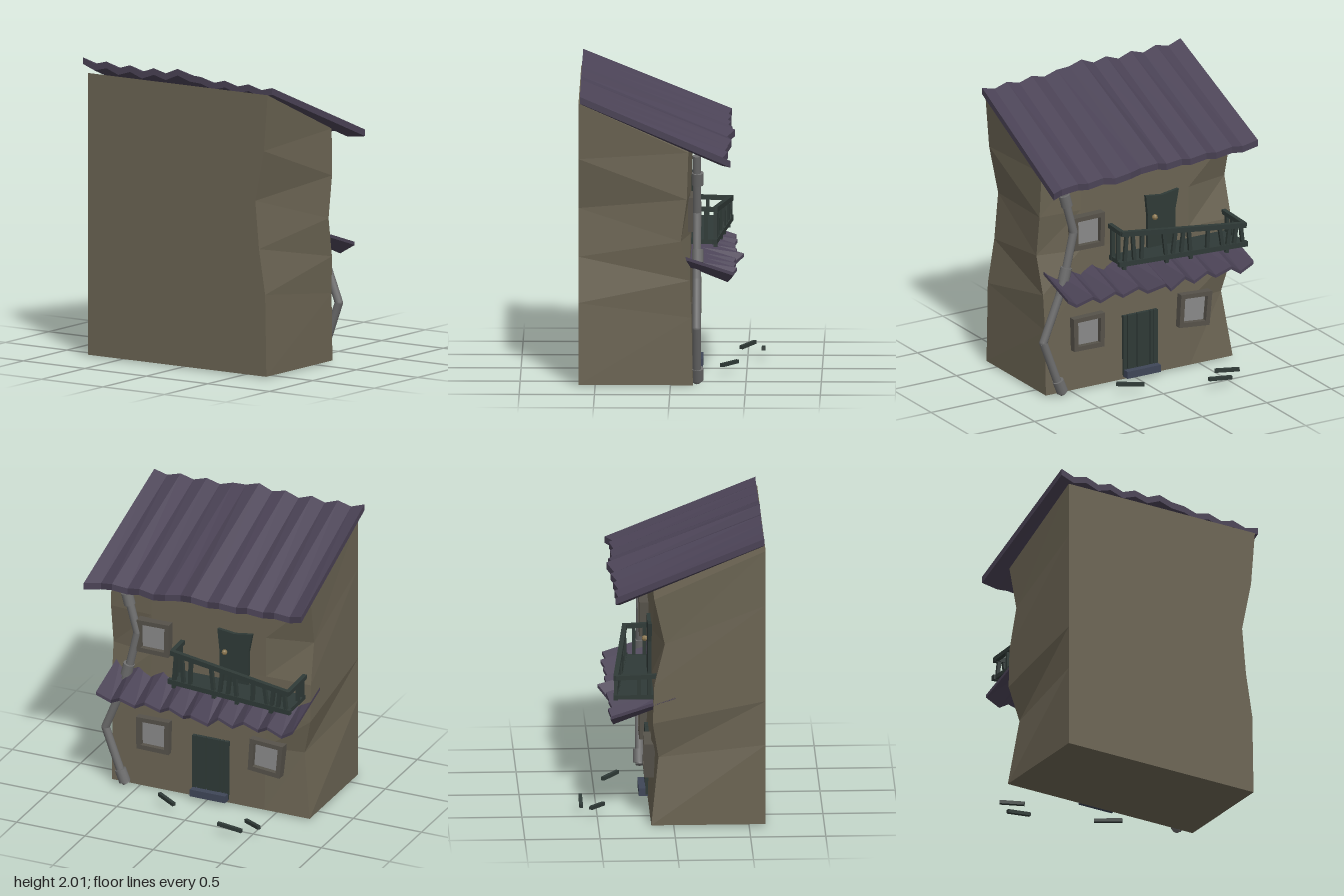
import * as THREE from 'three';

const mat = (color, extra = {}) => new THREE.MeshStandardMaterial({ color, flatShading: true, ...extra });
const WALL = mat(0x6b6453), ROOF = mat(0x4a4255), WOOD = mat(0x2f3a37), STEP = mat(0x3f4658);
const FRAME = mat(0x56524a), PANE = mat(0x8a8a8a), BRASS = mat(0x8a7650), PIPE = mat(0x6e6e6e, { flatShading: false });

const V = (x, y, z) => new THREE.Vector3(x, y, z);

function add(parent, name, geometry, material) {
  const mesh = new THREE.Mesh(geometry, material);
  mesh.name = name;
  parent.add(mesh);
  return mesh;
}

function group(parent, name) {
  const g = new THREE.Group();
  g.name = name;
  parent.add(g);
  return g;
}

// Square bar running from a to b
function beam(parent, name, a, b, w, h = w) {
  const m = add(parent, name, new THREE.BoxGeometry(w, h, a.distanceTo(b)), WOOD);
  m.position.copy(a).lerp(b, 0.5);
  m.lookAt(b);
}

// Round rod running from a to b
function rod(parent, name, a, b, r) {
  const m = add(parent, name, new THREE.CylinderGeometry(r, r, a.distanceTo(b), 12), PIPE);
  m.position.copy(a).lerp(b, 0.5);
  m.quaternion.setFromUnitVectors(V(0, 1, 0), b.clone().sub(a).normalize());
}

// Outline in (z, y) on the facade, extruded towards +x
function facadePlate(parent, name, outline, x, depth, material, hole) {
  const toPts = (pts) => pts.map(([z, y]) => new THREE.Vector2(-z, y));
  const shape = new THREE.Shape(toPts(outline));
  if (hole) shape.holes.push(new THREE.Path(toPts(hole)));
  const geo = new THREE.ExtrudeGeometry(shape, { depth, bevelEnabled: false });
  geo.rotateY(Math.PI / 2);
  const m = add(parent, name, geo, material);
  m.position.x = x;
  return m;
}

// Folded sheet of even thickness between a back edge and a front edge (both run from +z to -z)
function corrugated(parent, name, back, front, t) {
  const pos = [];
  const low = (p) => V(p.x, p.y - t, p.z);
  const quad = (a, b, c, d) => [a, b, c, a, c, d].forEach((p) => pos.push(p.x, p.y, p.z));
  const last = back.length - 1;
  for (let i = 0; i < last; i++) {
    const a = back[i], b = back[i + 1], c = front[i + 1], d = front[i];
    quad(a, d, c, b);
    quad(low(a), low(b), low(c), low(d));
    quad(d, low(d), low(c), c);
    quad(b, low(b), low(a), a);
  }
  quad(back[0], low(back[0]), low(front[0]), front[0]);
  quad(front[last], low(front[last]), low(back[last]), back[last]);
  const geo = new THREE.BufferGeometry();
  geo.setAttribute('position', new THREE.Float32BufferAttribute(pos, 3));
  geo.computeVertexNormals();
  add(parent, name, geo, ROOF);
}

// Leaning block with crooked corners and a sloping top
function walls(parent) {
  const rows = [0, 0.29, 0.45, 0.62, 0.8, 1];
  const cols = [-0.75, -0.42, 0, 0.42, 0.7];
  const frontX = [0.15, 0.14, 0.135, 0.13, 0.13, 0.13];
  const cornerX = { 4: [0.15, 0.14, 0.13, 0.07, 0.11, 0.12], 0: [0.15, 0.1, 0.14, 0.13, 0.06, 0.13] };
  const cornerZ = { 4: [0.7, 0.7, 0.71, 0.725, 0.725, 0.715], 0: [-0.75, -0.69, -0.75, -0.75, -0.74, -0.75] };
  const backZ = [0.7, 0.69, 0.64, 0.61, 0.68, 0.71];
  const geo = new THREE.BoxGeometry(1, 1, 1, 1, 5, 4);
  const p = geo.attributes.position;
  for (let i = 0; i < p.count; i++) {
    const r = Math.round((p.getY(i) + 0.5) * 5), c = Math.round((p.getZ(i) + 0.5) * 4);
    const isFront = p.getX(i) > 0;
    let x = -0.61, z = cols[c];
    if (isFront) {
      x = (cornerX[c] || frontX)[r];
      if (cornerZ[c]) z = cornerZ[c][r];
    } else if (c === 4) z = backZ[r];
    p.setXYZ(i, x, rows[r] * (isFront ? 1.57 : 1.9), z);
  }
  geo.computeVertexNormals();
  add(parent, 'walls', geo, WALL);
}

function windowUnit(parent, name, z, y, tilt = 0) {
  const g = group(parent, name);
  const sq = (s, k) => [[s, -s], [-s, -s - k], [-s - k, s], [s + k, s - k]];
  facadePlate(g, 'windowFrame', sq(0.117, 0.004), 0.08, 0.11, FRAME, sq(0.086, 0.002));
  facadePlate(g, 'windowPane', sq(0.09, 0), 0.08, 0.075, PANE);
  g.position.set(0, y, z);
  g.rotation.x = tilt;
}

export function createModel() {
  const house = new THREE.Group();
  house.name = 'crookedHouse';
  walls(house);

  // Main roof
  const ridge = [1.95, 1.925, 1.955, 1.93, 1.96, 1.935, 1.965, 1.97, 2.0, 1.96, 1.985, 1.95, 1.985, 1.955, 1.99, 1.965, 2.0];
  const eave = [0.4, 0.34, 0.38, 0.35, 0.38, 0.37, 0.4, 0.37, 0.42, 0.37, 0.4, 0.35, 0.39, 0.35, 0.39, 0.36, 0.39];
  corrugated(house, 'roof',
    ridge.map((y, i) => V(-0.6, y, 0.74 - i * 0.09625)),
    ridge.map((y, i) => V(eave[i], y - 0.4 - (i === 0 ? 0.02 : 0), 0.79 - i * 0.0994)), 0.045);

  // Awning between the floors
  const reach = [0.42, 0.38, 0.44, 0.39, 0.43, 0.38, 0.43, 0.4, 0.48, 0.4, 0.43, 0.4, 0.42, 0.38, 0.43, 0.4, 0.42];
  corrugated(house, 'awning',
    reach.map((x, i) => V(i % 2 ? 0.03 : -0.01, i % 2 ? 0.84 : 0.9, 0.69 - i * 0.09)),
    reach.map((x, i) => V(x, (i % 2 ? 0.7 : 0.76) - (i === 9 ? 0.02 : 0), 0.69 - i * 0.09)), 0.022);

  // Windows
  windowUnit(house, 'upperWindow', 0.385, 1.115);
  windowUnit(house, 'lowerWindowLeft', 0.385, 0.4);
  windowUnit(house, 'lowerWindowRight', -0.44, 0.4, -0.08);

  // Ground floor door: planks on a backing, with a step
  const door = group(house, 'frontDoor');
  facadePlate(door, 'doorBacking', [[0.1, 0.03], [-0.155, 0.03], [-0.155, 0.445], [0.1, 0.445]], 0.1, 0.05, WOOD);
  [[0.105, 0.078], [0.07, 0.005], [-0.003, -0.095], [-0.103, -0.125], [-0.132, -0.16]].forEach(([a, b]) =>
    facadePlate(door, 'doorPlank', [[a, 0.03], [b, 0.03], [b, 0.45], [a, 0.45]], 0.1, 0.065, WOOD));
  const step = add(house, 'doorStep', new THREE.BoxGeometry(0.1, 0.05, 0.26), STEP);
  step.position.set(0.16, 0.045, -0.028);

  // Balcony door with a warped top
  facadePlate(house, 'balconyDoor',
    [[-0.09, 0.87], [-0.3, 0.87], [-0.305, 1.14], [-0.33, 1.27], [-0.2, 1.25], [-0.075, 1.265], [-0.09, 1.12]], 0.1, 0.055, WOOD);
  const knob = add(house, 'doorKnob', new THREE.SphereGeometry(0.02, 8, 6), BRASS);
  knob.position.set(0.17, 1.11, -0.135);

  // Balcony floor
  const balcony = group(house, 'balcony');
  const floor = new THREE.ExtrudeGeometry(new THREE.Shape(
    [[0.08, -0.2], [0.29, -0.2], [0.385, 0.71], [0.08, 0.71]].map(([x, y]) => new THREE.Vector2(x, y))),
  { depth: 0.03, bevelEnabled: false });
  floor.rotateX(-Math.PI / 2);
  add(balcony, 'balconyFloor', floor, WOOD).position.y = 0.865;

  // Railing: sagging top rail, uneven balusters, short returns to the wall
  const along = (z, y) => V(0.29 + (0.2 - z) * 0.104, y, z);
  const topY = (z) => 1.095 - (0.2 - z) * 0.09;
  beam(balcony, 'topRail', along(0.2, topY(0.2)), along(-0.71, topY(-0.71)), 0.032, 0.034);
  beam(balcony, 'bottomRail', along(0.22, 0.882), along(-0.72, 0.88), 0.032, 0.034);
  [0.17, 0.11, 0.05, -0.12, -0.185, -0.245, -0.3, -0.43, -0.53, -0.58, -0.63, -0.68].forEach((z, i) => {
    const lean = [0.01, -0.008, 0.004, -0.012, 0.012][i % 5];
    beam(balcony, 'baluster', along(z + lean, i % 3 === 0 ? 0.84 : 0.87), along(z - lean, topY(z)), 0.024);
  });
  for (const z of [0.19, -0.7]) {
    const end = along(z, topY(z));
    beam(balcony, 'sideTopRail', V(0.1, end.y + 0.01, z), end, 0.03);
    for (const x of [0.16, 0.23]) beam(balcony, 'sideBaluster', V(x, 0.87, z), V(x, end.y, z), 0.024);
  }

  // Bent drainpipe with collars
  const pipe = group(house, 'drainpipe');
  const path = [[1.53, 0.6], [1.37, 0.565], [1.13, 0.5], [0.85, 0.565], [0.7, 0.61], [0.39, 0.735], [0.05, 0.61], [0.005, 0.58]]
    .map(([y, z]) => V(0.175, y, z));
  for (let i = 0; i < path.length - 1; i++) {
    rod(pipe, 'pipeSection', path[i], path[i + 1], 0.028);
    if (i > 0) add(pipe, 'pipeBend', new THREE.SphereGeometry(0.028, 12, 8), PIPE).position.copy(path[i]);
  }
  for (const [y, z, s] of [[1.37, 0.565, 0.27], [0.85, 0.57, -0.25], [0.06, 0.607, 0.4]]) {
    rod(pipe, 'pipeCollar', V(0.18, y + 0.042, z + 0.042 * s), V(0.18, y - 0.042, z - 0.042 * s), 0.039);
  }

  // Fallen balusters on the ground
  const debris = group(house, 'fallenPlanks');
  beam(debris, 'fallenPlank', V(0.44, 0.058, 0.11), V(0.335, 0.058, 0.265), 0.024);
  beam(debris, 'fallenPlank', V(0.455, 0.055, -0.425), V(0.545, 0.068, -0.565), 0.024);
  beam(debris, 'fallenPlank', V(0.605, 0.07, -0.29), V(0.605, 0.05, -0.465), 0.024);

  return house;
}
